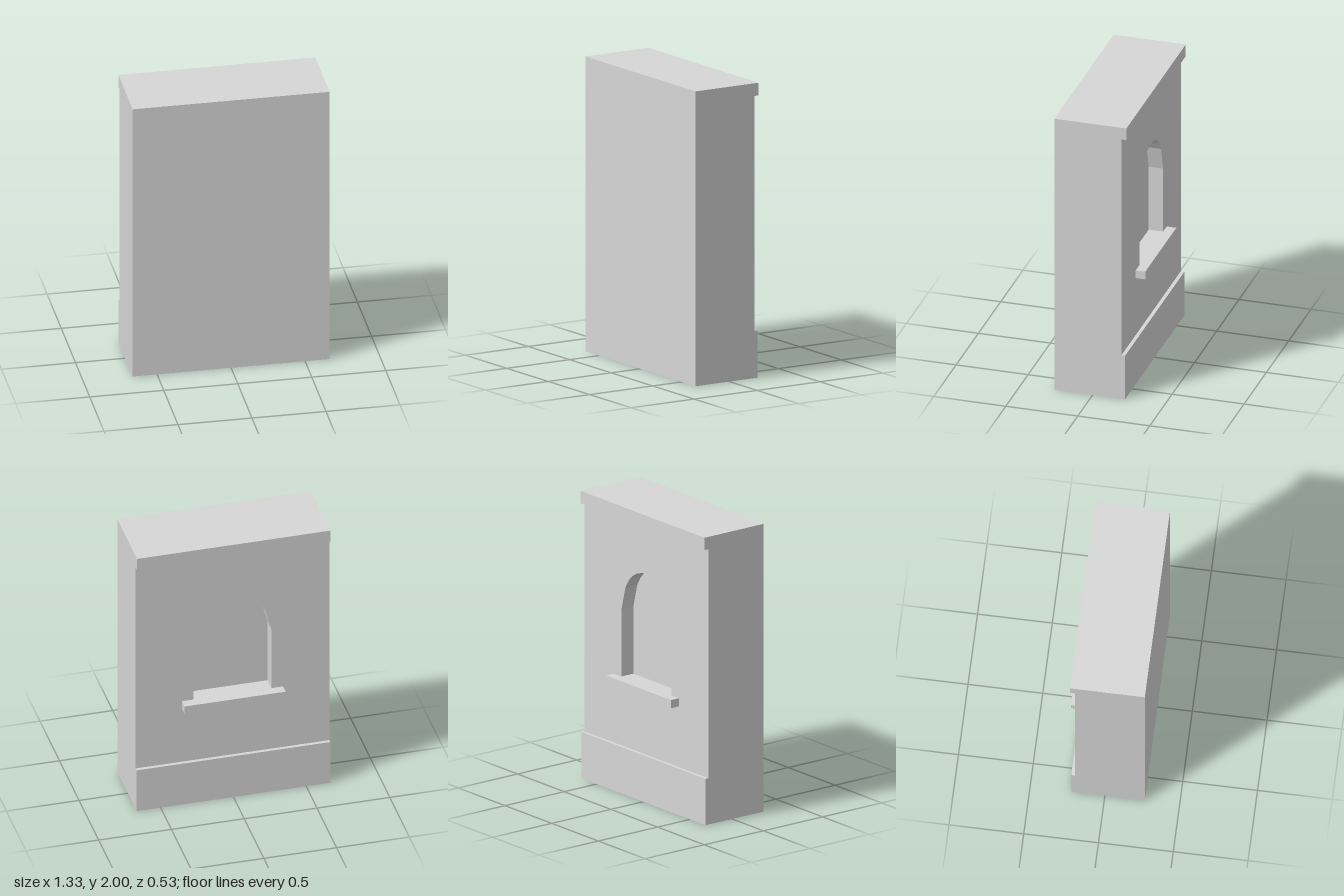
import * as THREE from 'three';

export function createModel() {
  const model = new THREE.Group();
  model.name = 'wallWithNiche';
  const stone = new THREE.MeshStandardMaterial({ color: 0xd6d6d6 });
  stone.name = 'pale grey stone';

  const W = 0.665, H = 2, FRONT = 0.267, BACK = -0.2, NICHE = -0.1;

  // Box given by half width and its y and z ranges
  function slab(name, halfWidth, y0, y1, z0, z1) {
    const mesh = new THREE.Mesh(new THREE.BoxGeometry(halfWidth * 2, y1 - y0, z1 - z0), stone);
    mesh.position.set(0, (y0 + y1) / 2, (z0 + z1) / 2);
    mesh.name = name;
    model.add(mesh);
  }

  // Solid body, whose back face closes the niche
  slab('wallBody', W, 0, H, NICHE, FRONT);

  // Outer layer of the wall with the arched opening
  const wall = new THREE.Shape([[-W, 0], [W, 0], [W, H], [-W, H]].map(p => new THREE.Vector2(...p)));
  const half = [
    [0.267, 0.8], [0.267, 1.265], [0.224, 1.43], [0.19, 1.486],
    [0.15, 1.527], [0.1, 1.557], [0.05, 1.572],
  ];
  const arch = [
    ...half,
    [0, 1.577],
    ...half.slice().reverse().map(([x, y]) => [-x, y]),
  ].map(p => new THREE.Vector2(...p));
  wall.holes.push(new THREE.Path(arch));
  const layer = new THREE.Mesh(
    new THREE.ExtrudeGeometry(wall, { depth: NICHE - BACK, bevelEnabled: false }), stone);
  layer.position.z = BACK;
  layer.name = 'nicheWall';
  model.add(layer);

  // Projecting bands and sill
  slab('cornice', W, 1.914, H, -0.234, BACK);
  slab('plinth', W, 0, 0.322, -0.225, BACK);
  slab('sill', 0.348, 0.743, 0.8, -0.267, BACK);

  return model;
}
